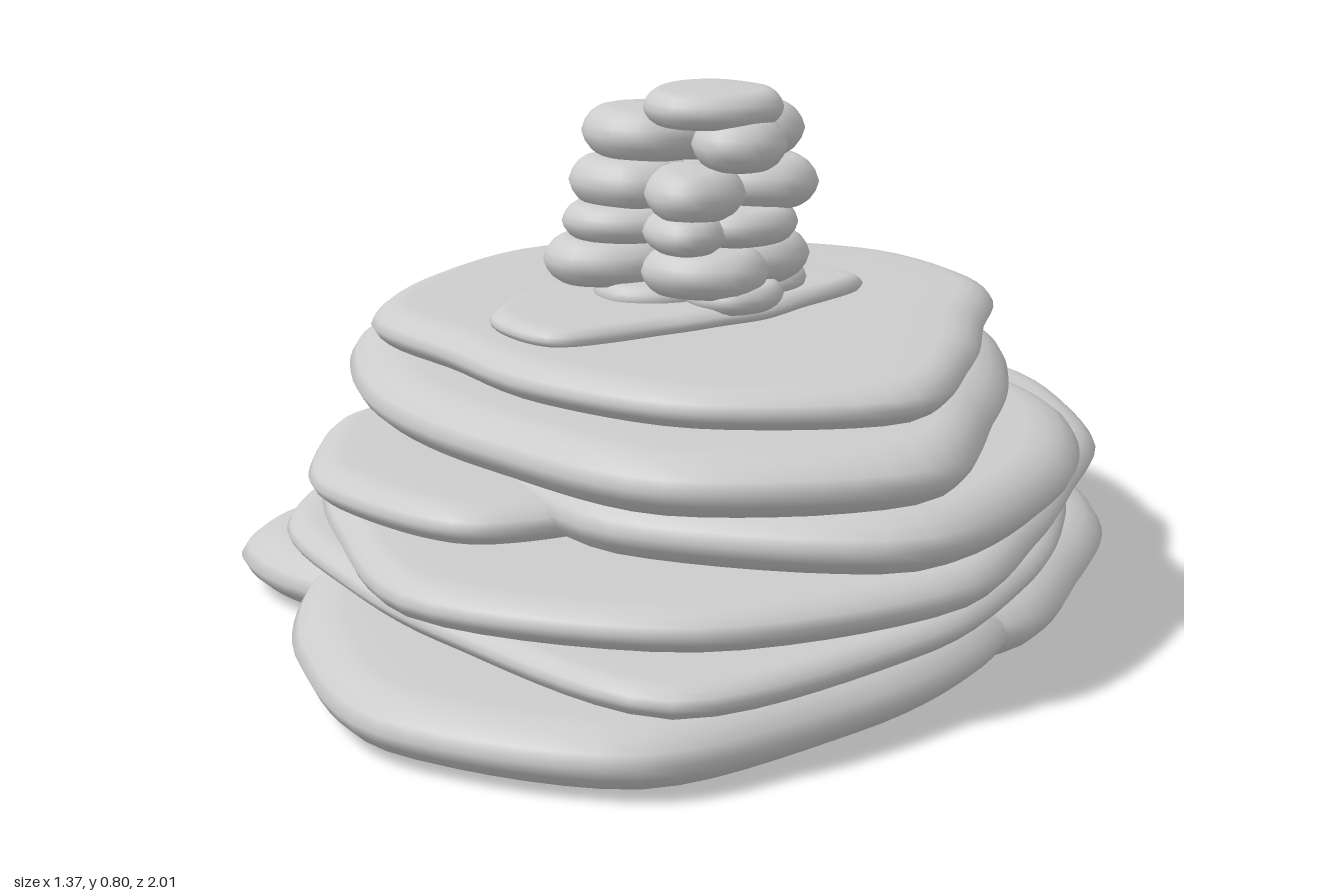
import * as THREE from 'three';

const stone = new THREE.MeshStandardMaterial({ color: 0xcccccc });
stone.name = 'grey stone';

// Solid slab from a closed outline of [x, z] points, with a tapered rim of width `rim`
function slabGeometry(outline, y0, y1, rim, segments) {
  const curve = new THREE.CatmullRomCurve3(
    outline.map(([x, z]) => new THREE.Vector3(x, 0, z)), true, 'catmullrom', 0.45);
  const ring = curve.getSpacedPoints(segments).slice(0, segments);
  const centre = new THREE.Vector3();
  ring.forEach((p) => centre.addScaledVector(p, 1 / segments));

  // Profile rows from underside to top: [inset from the edge, y]
  const mid = (y0 + y1) / 2, half = (y1 - y0) / 2, steps = 8;
  const rows = [[rim * 2.2, y0]];
  for (let i = 0; i <= steps; i++) {
    const t = (2 * i) / steps - 1, a = (t * Math.PI) / 2;
    rows.push([rim * (0.3 * Math.abs(t) + 0.7 * (1 - Math.cos(a))), mid + half * 0.95 * Math.sin(a)]);
  }
  rows.push([rim * 2.2, y1]);

  const pos = [], index = [];
  for (const [inset, y] of rows) {
    for (const p of ring) {
      const d = p.clone().sub(centre);
      const k = Math.max(0.1, 1 - inset / d.length());
      pos.push(centre.x + d.x * k, y, centre.z + d.z * k);
    }
  }
  const last = rows.length - 1, bottom = rows.length * segments, top = bottom + 1;
  pos.push(centre.x, y0, centre.z, centre.x, y1, centre.z);
  for (let j = 0; j < segments; j++) {
    const n = (j + 1) % segments;
    for (let r = 0; r < last; r++) {
      const a = r * segments + j, b = r * segments + n;
      index.push(a, b, a + segments, b, b + segments, a + segments);
    }
    index.push(bottom, n, j, top, last * segments + j, last * segments + n);
  }
  const g = new THREE.BufferGeometry();
  g.setAttribute('position', new THREE.Float32BufferAttribute(pos, 3));
  g.setIndex(index);
  g.computeVertexNormals();
  return g;
}

// Outline around (cx, cz): `count` even steps from the front round by +x,
// with radius(i, angle) giving the reach in x and z
function radialOutline(cx, cz, count, radius) {
  return Array.from({ length: count }, (_, i) => {
    const a = (i / count) * Math.PI * 2;
    const [rx, rz] = radius(i, a);
    return [cx + Math.sin(a) * rx, cz + Math.cos(a) * rz];
  });
}

function addStone(parent, name, outline, y0, y1, rim, segments) {
  const mesh = new THREE.Mesh(slabGeometry(outline, y0, y1, rim, segments), stone);
  mesh.name = name;
  parent.add(mesh);
}

export function createModel() {
  const model = new THREE.Group();
  model.name = 'stoneCairn';
  const base = new THREE.Group();
  base.name = 'slabBase';
  const tower = new THREE.Group();
  tower.name = 'cobbleStack';
  model.add(base, tower);

  // Broad irregular slabs: height range, centre, reach in even directions
  const slab = (name, y0, y1, cx, cz, reach) => addStone(base, name,
    radialOutline(cx, cz, reach.length, (i) => [reach[i], reach[i]]),
    y0, y1, (y1 - y0) * 0.85, 72);
  slab('baseSlabFront', 0, 0.1, -0.02, 0.2, [0.8, 0.62, 0.55, 0.55, 0.61, 0.75, 0.77, 0.69, 0.58, 0.54, 0.59, 0.74]);
  slab('baseSlabBack', 0, 0.098, 0.15, -0.3, [0.79, 0.73, 0.56, 0.535, 0.57, 0.67, 0.67, 0.66, 0.6, 0.55, 0.6, 0.67]);
  slab('baseSlabSide', 0.002, 0.096, -0.4, -0.12, [0.33, 0.25, 0.2, 0.25, 0.33, 0.3, 0.285, 0.28]);
  slab('thinSlab', 0.092, 0.145, 0.02, 0, [0.945, 0.72, 0.59, 0.58, 0.68, 0.83, 0.82, 0.73, 0.66, 0.62, 0.59, 0.68]);
  slab('wideSlab', 0.14, 0.21, 0.05, -0.05, [0.85, 0.74, 0.58, 0.57, 0.72, 0.96, 0.92, 0.74, 0.63, 0.595, 0.63, 0.81]);
  slab('thickSlab', 0.202, 0.3, -0.08, -0.15, [0.68, 0.89, 0.77, 0.7, 0.66, 0.76, 0.855, 0.7, 0.51, 0.34, 0.31, 0.39]);
  slab('sideSlab', 0.2, 0.268, -0.28, 0, [0.46, 0.4, 0.28, 0.35, 0.38, 0.33, 0.275, 0.335]);
  slab('upperSlab', 0.287, 0.388, 0, -0.1, [0.74, 0.77, 0.56, 0.52, 0.58, 0.67, 0.72, 0.71, 0.59, 0.505, 0.5, 0.56]);
  slab('topSlab', 0.38, 0.45, 0.04, -0.12, [0.6, 0.64, 0.48, 0.44, 0.53, 0.6, 0.61, 0.61, 0.54, 0.515, 0.445, 0.5]);
  slab('stackFoot', 0.44, 0.476, 0, -0.1, [0.2, 0.16, 0.17, 0.2, 0.34, 0.3, 0.27, 0.22, 0.21, 0.245, 0.32, 0.345]);

  // Courses of uneven rounded cobbles: height range, stones as [x, z, x radius, z radius]
  const course = (c, y0, y1, stones) => stones.forEach(([x, z, rx, rz], i) => {
    const phase = c * 1.7 + i * 2.3, drop = i % 2 ? 0.004 : 0;
    const outline = radialOutline(x, z, 10, (_, a) => {
      const k = 0.99 + 0.04 * Math.sin(3 * a + phase);
      return [rx * k, rz * k];
    });
    addStone(tower, `cobble${c}_${i + 1}`, outline, y0 - drop, y1 - drop, (y1 - y0) * 0.5, 32);
  });
  course(1, 0.462, 0.505, [[0.09, -0.05, 0.08, 0.09], [-0.03, -0.12, 0.1, 0.12], [0.1, -0.19, 0.11, 0.11]]);
  course(2, 0.488, 0.565, [[-0.1, -0.12, 0.11, 0.1], [0.05, -0.04, 0.1, 0.1], [0.11, -0.15, 0.1, 0.11], [0.01, -0.21, 0.13, 0.105]]);
  course(3, 0.56, 0.62, [[-0.08, -0.11, 0.095, 0.1], [0.02, -0.03, 0.07, 0.1], [0.1, -0.1, 0.09, 0.12], [0.03, -0.2, 0.12, 0.1]]);
  course(4, 0.608, 0.69, [[-0.065, -0.12, 0.1, 0.1], [0.03, -0.03, 0.08, 0.1], [0.13, -0.13, 0.095, 0.1], [0.03, -0.2, 0.13, 0.1]]);
  course(5, 0.68, 0.765, [[-0.04, -0.14, 0.11, 0.1], [0.1, -0.06, 0.075, 0.1], [0.11, -0.17, 0.095, 0.1], [0.03, -0.195, 0.125, 0.105]]);
  course(6, 0.744, 0.803, [[0.058, -0.075, 0.11, 0.11]]);
  return model;
}
